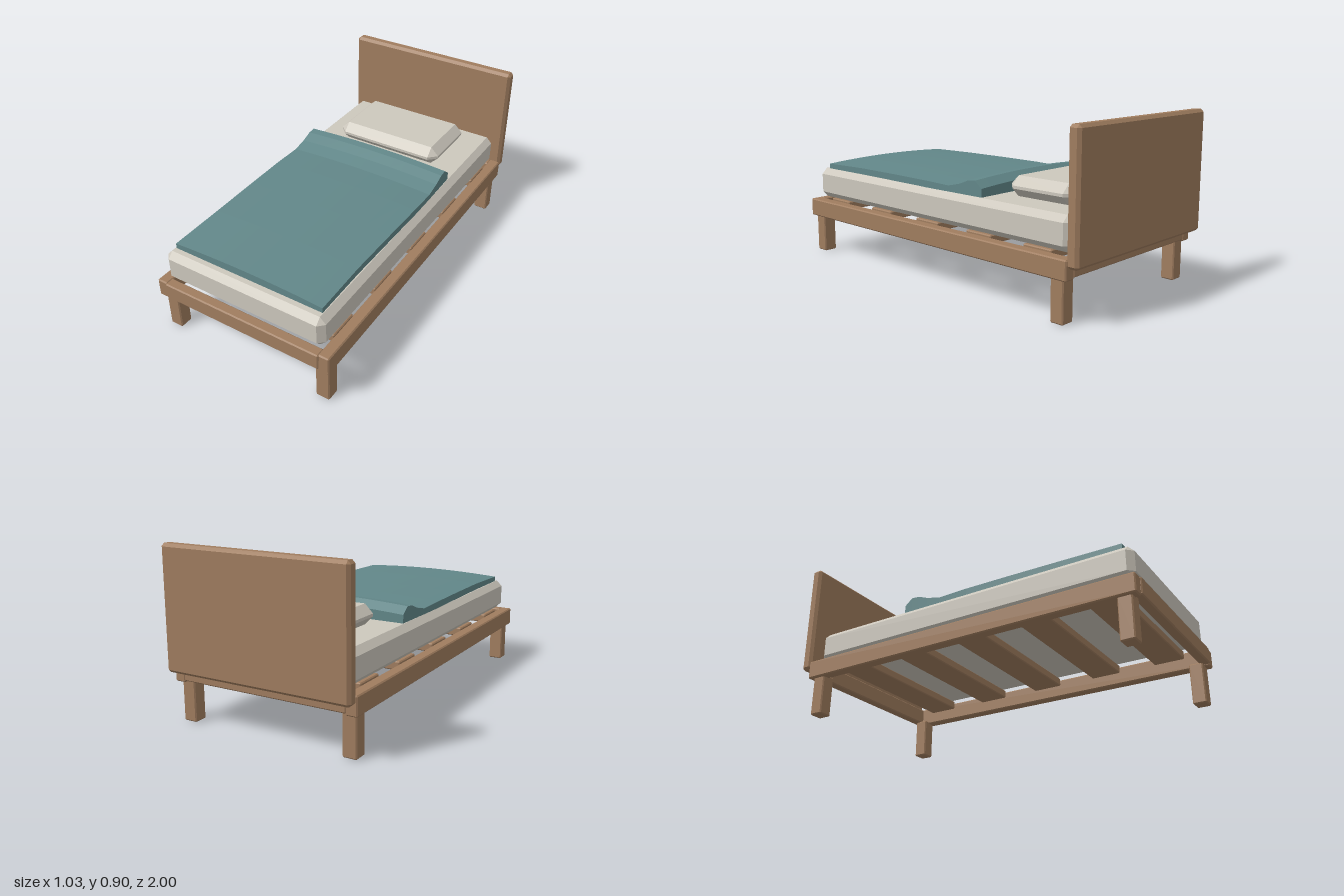
import * as THREE from 'three';
import { ConvexGeometry } from 'three/addons/geometries/ConvexGeometry.js';

const material = (color) => new THREE.MeshStandardMaterial({ color, flatShading: true });

// Box given by its min/max on each axis, with every edge cut at 45 degrees by c
function chamferBox(name, mat, [x0, x1], [y0, y1], [z0, z1], c) {
  const half = [(x1 - x0) / 2, (y1 - y0) / 2, (z1 - z0) / 2];
  const points = [];
  for (const sx of [-1, 1]) for (const sy of [-1, 1]) for (const sz of [-1, 1]) {
    for (let axis = 0; axis < 3; axis++) {
      // one point per face meeting at this corner
      const [hx, hy, hz] = half.map((h, i) => (i === axis ? h : h - c));
      points.push(new THREE.Vector3(sx * hx, sy * hy, sz * hz));
    }
  }
  const mesh = new THREE.Mesh(new ConvexGeometry(points), mat);
  mesh.name = name;
  mesh.position.set((x0 + x1) / 2, (y0 + y1) / 2, (z0 + z1) / 2);
  return mesh;
}

// Crowned blanket with a folded ridge near the pillow
function createBlanket(mat) {
  const profile = [ // z, height along the centre line
    [-0.35, 0.548], [-0.305, 0.583], [-0.26, 0.579], [-0.2, 0.555], [-0.12, 0.536],
    [0.05, 0.54], [0.3, 0.541], [0.6, 0.54], [0.91, 0.533],
  ];
  const bottom = 0.487;
  const n = profile.length - 1;
  const geo = new THREE.BoxGeometry(2, 1, 1, 12, 1, n);
  const pos = geo.attributes.position;
  for (let i = 0; i < pos.count; i++) {
    const u = pos.getX(i);
    const [z, top] = profile[Math.round((pos.getZ(i) + 0.5) * n)];
    const halfWidth = 0.434 + 0.004 * Math.cos(z * 5);
    pos.setXYZ(i, u * halfWidth, pos.getY(i) > 0 ? top - 0.015 * u * u : bottom, z);
  }
  geo.computeVertexNormals();
  const mesh = new THREE.Mesh(geo, mat);
  mesh.name = 'blanket';
  return mesh;
}

export function createModel() {
  const bed = new THREE.Group();
  bed.name = 'bed';
  const wood = material(0xa07d5f);
  const linen = material(0xcdc8bd);
  const teal = material(0x628789);

  // Frame: headboard, end rails, side rails and legs
  bed.add(chamferBox('headboard', wood, [-0.515, 0.515], [0.27, 0.9], [-1, -0.935], 0.015));
  bed.add(chamferBox('footRail', wood, [-0.46, 0.46], [0.218, 0.308], [0.945, 1], 0.006));
  bed.add(chamferBox('headRail', wood, [-0.46, 0.46], [0.218, 0.308], [-0.94, -0.885], 0.006));
  for (const [side, s] of [['left', 1], ['right', -1]]) {
    const span = (a, b) => (s > 0 ? [a, b] : [-b, -a]);
    bed.add(chamferBox(`${side}SideRail`, wood, span(0.455, 0.516), [0.21, 0.309], [-0.94, 0.993], 0.006));
    bed.add(chamferBox(`${side}FrontLeg`, wood, span(0.422, 0.498), [0, 0.222], [0.893, 0.967], 0.006));
    bed.add(chamferBox(`${side}BackLeg`, wood, span(0.422, 0.498), [0, 0.222], [-0.912, -0.838], 0.006));
  }

  // Slats under the mattress
  for (let i = 0; i < 5; i++) {
    const z = 0.777 - i * 0.376;
    bed.add(chamferBox(`slat${i + 1}`, wood, [-0.46, 0.46], [0.275, 0.321], [z - 0.085, z + 0.085], 0.005));
  }

  // Bedding
  bed.add(chamferBox('mattress', linen, [-0.469, 0.469], [0.32, 0.49], [-0.915, 0.97], 0.032));
  bed.add(chamferBox('pillow', linen, [-0.32, 0.32], [0.488, 0.593], [-0.805, -0.405], 0.045));
  bed.add(createBlanket(teal));
  return bed;
}
